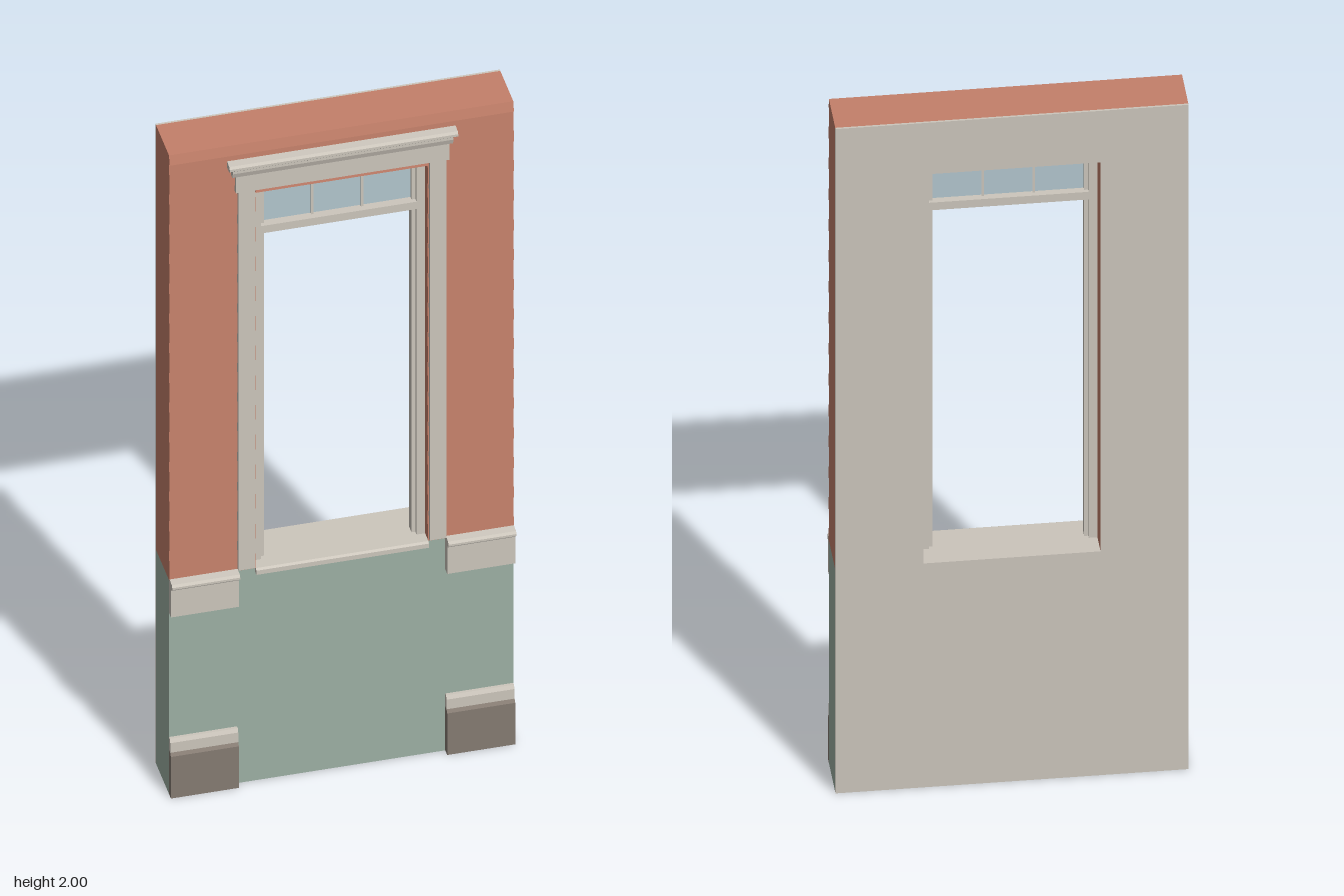
import * as THREE from 'three';

const mat = (name, color) => {
  const m = new THREE.MeshStandardMaterial({ color });
  m.name = name;
  return m;
};

export function createModel() {
  const brick = mat('terracotta siding', 0xc4806a);
  const green = mat('sage base', 0x9db0a4);
  const trim = mat('off-white trim', 0xccc6bc);
  const dark = mat('dark plinth', 0x857b72);
  const glass = mat('pale blue glass', 0xb2c6ce);

  const model = new THREE.Group();
  model.name = 'windowWallPanel';

  const W = 0.443, OPEN = 0.222, SILL = 0.67, HEAD = 1.845, TOP = 2;
  const BACK = -0.084, FACE = 0.05;

  const add = (name, geometry, material) => {
    const mesh = new THREE.Mesh(geometry, material);
    mesh.name = name;
    model.add(mesh);
    return mesh;
  };
  // Box given by its extents
  const box = (name, material, x0, x1, y0, y1, z0, z1) => {
    const g = new THREE.BoxGeometry(x1 - x0, y1 - y0, z1 - z0);
    g.translate((x0 + x1) / 2, (y0 + y1) / 2, (z0 + z1) / 2);
    return add(name, g, material);
  };
  const shapeOf = pts => new THREE.Shape(pts.map(p => new THREE.Vector2(p[0], p[1])));
  // Moulding: (z, y) profile swept along x
  const moulding = (name, material, pts, x0, x1) => {
    const g = new THREE.ExtrudeGeometry(shapeOf(pts.map(([z, y]) => [-z, y])),
      { depth: x1 - x0, bevelEnabled: false });
    g.rotateY(Math.PI / 2);
    g.translate(x0, 0, 0);
    return add(name, g, material);
  };
  // Flat panel: (x, y) outline with depth
  const panel = (name, material, pts, z0, z1, hole) => {
    const s = shapeOf(pts);
    if (hole) s.holes.push(shapeOf(hole));
    const g = new THREE.ExtrudeGeometry(s, { depth: z1 - z0, bevelEnabled: false });
    g.translate(0, 0, z0);
    return add(name, g, material);
  };
  const rect = (x, y0, y1) => [[-x, y0], [x, y0], [x, y1], [-x, y1]];

  // Wall core and inner lining
  panel('backLining', trim, rect(W, 0, TOP), BACK, -0.078, rect(OPEN, SILL, HEAD));
  box('lowerWall', green, -W, W, 0, SILL, -0.078, FACE);
  panel('upperWall', brick, [[-W, SILL], [-OPEN, SILL], [-OPEN, HEAD], [OPEN, HEAD],
    [OPEN, SILL], [W, SILL], [W, TOP], [-W, TOP]], -0.078, FACE);

  // Overlapping clapboards: each board leans out at its lower edge
  const rows = 14.3, pitch = (TOP - SILL) / rows;
  for (let i = 0; i < rows; i++) {
    const y0 = SILL + i * pitch, y1 = Math.min(y0 + pitch, TOP);
    const wedge = (a, b, low) => moulding('clapboard', brick,
      [[FACE - 0.002, low], [0.057, low], [FACE + 0.001, y1], [FACE - 0.002, y1]], a, b);
    wedge(-W, -OPEN, y0);
    wedge(OPEN, W, y0);
    if (y1 > HEAD) wedge(-OPEN, OPEN, Math.max(y0, HEAD));
  }

  for (const s of [-1, 1]) {
    const x0 = s < 0 ? -W : 0.268, x1 = s < 0 ? -0.268 : W;
    // Pilaster base: dark plinth with a stepped cap
    moulding('plinthBlock', dark,
      [[FACE, 0], [0.07, 0], [0.07, 0.13], [0.063, 0.138], [FACE, 0.138]], x0, x1);
    moulding('plinthCap', trim,
      [[FACE, 0.138], [0.063, 0.138], [0.063, 0.168], [0.058, 0.178], [FACE, 0.178]], x0, x1);
    // Ledge block with a projecting nose
    box('ledgeBlock', trim, x0, x1, 0.567, 0.655, FACE, 0.07);
    moulding('ledgeCap', trim,
      [[FACE, 0.65], [0.07, 0.65], [0.074, 0.658], [0.083, 0.662], [0.083, 0.668],
        [0.078, 0.674], [FACE, 0.677]], x0, x1);
    // Side casing
    box('sideCasing', trim, ...(s < 0 ? [-0.268, -0.225] : [0.225, 0.268]),
      0.675, 1.86, FACE - 0.002, 0.063);
    // Stepped window jamb
    const jamb = (name, a, b, z0, z1) => box(name, trim,
      Math.min(s * a, s * b), Math.max(s * a, s * b), SILL, HEAD, z0, z1);
    jamb('outerJamb', 0.2, OPEN, -0.02, 0.028);
    jamb('innerJamb', 0.19, 0.2, -0.01, 0.016);
  }

  // Sill runs through the wall
  moulding('windowSill', trim, [[BACK, 0.664], [FACE, 0.664], [FACE, 0.655], [0.066, 0.655],
    [0.066, 0.668], [0.06, 0.672], [BACK, 0.674]], -OPEN, OPEN);

  // Header and crown
  box('headerBoard', trim, -0.275, 0.275, 1.86, 1.925, FACE - 0.002, 0.066);
  const bed = moulding('headerBed', trim,
    [[FACE, 1.91], [0.066, 1.91], [0.071, 1.925], [0.071, 1.936], [FACE, 1.936]], -0.284, 0.284);
  bed.name = 'headerBedMoulding';
  moulding('headerCrown', trim,
    [[FACE, 1.934], [0.073, 1.934], [0.079, 1.939], [0.079, 1.946], [0.074, 1.952], [FACE, 1.954]],
    -0.294, 0.294);

  // Transom frame, panes and dividers
  box('frameHead', trim, -0.2, 0.2, 1.822, HEAD, -0.02, 0.028);
  box('transomBar', trim, -0.2, 0.2, 1.692, 1.715, -0.02, 0.028);
  box('transomGlass', glass, -0.195, 0.195, 1.715, 1.822, 0.0, 0.005);
  for (const x of [-0.064, 0.064])
    box('transomDivider', trim, x - 0.003, x + 0.003, 1.715, 1.822, -0.007, 0.012);

  return model;
}
